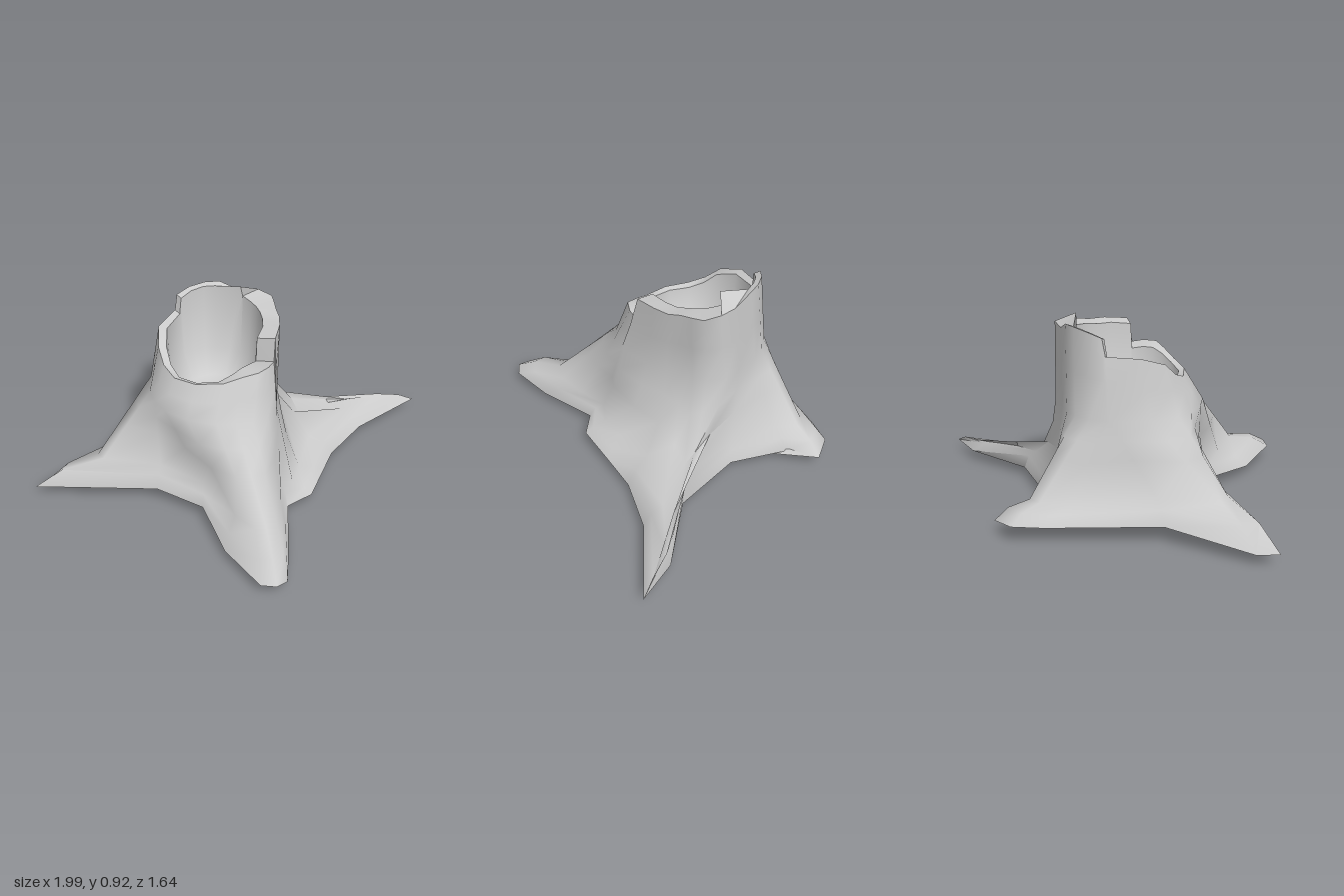
import * as THREE from 'three';
import { toCreasedNormals } from 'three/addons/utils/BufferGeometryUtils.js';

// Columns run counter-clockwise seen from above, starting at the front root.
// Ground outline of the roots
const FOOT = [
  [.14, .07, .82], [.19, .06, .78], [.21, .03, .58], [.23, .05, .27], [.35, .06, .20], [.43, .05, 0],
  [.49, .03, -.16], [.66, .04, -.37], [.99, .05, -.61], [.78, .05, -.60], [.45, .04, -.44], [.10, .04, -.48],
  [-.11, .05, -.66], [-.14, .07, -.82], [-.26, .08, -.79], [-.34, .08, -.67], [-.58, .08, -.21], [-.94, .05, .02],
  [-1, .06, .10], [-.40, .08, .16], [-.18, .07, .29], [-.08, .04, .56], [.07, .06, .80],
];
// Tops of the roots
const KNEE = [
  [.11, .16, .56], [.16, .14, .50], [.19, .14, .34], [.20, .14, .20], [.26, .10, .15], [.30, .10, .03],
  [.37, .13, -.18], [.58, .13, -.42], [.78, .11, -.58], [.60, .14, -.49], [.37, .15, -.41], [.08, .14, -.46],
  [-.13, .14, -.57], [-.19, .16, -.67], [-.25, .16, -.65], [-.32, .15, -.54], [-.50, .18, -.20], [-.69, .19, .01],
  [-.66, .20, .06], [-.38, .20, .12], [-.17, .16, .22], [-.03, .13, .42], [.06, .16, .55],
];
// Direction of each column around the trunk, and height of the broken rim there
const ANGLE = [20, 32, 44, 56.5, 58, 80, 96, 108, 118, 128, 142, 158, 178, 192, 208, 223, 226, 258, 282, 297, 314, 338, 364];
const RIM = [.70, .72, .72, .71, .83, .84, .84, .85, .855, .86, .87, .86, .90, .90, .89, .87, .79, .78, .74, .68, .65, .655, .67];
// Corners of the trunk: front right buttress and back right
const UPPER_BULGE = { 0: 1.1, 1: 1.2, 2: 1.25, 3: 1.22, 4: 1.2, 5: 1.08, 8: 1.06, 9: 1.14, 10: 1.14, 22: 1.05 };
const RIM_BULGE = { 0: 1.05, 1: 1.15, 2: 1.12, 3: 1.05, 4: 1.05, 8: 1.06, 9: 1.15, 10: 1.12 };

const vec = (p) => new THREE.Vector3(...p);

// Ellipse ring around the trunk; height varies per column, some columns bulge
function trunkRing(cx, cz, rx, rz, height, bulge = {}) {
  return ANGLE.map((deg, i) => {
    const a = THREE.MathUtils.degToRad(deg), s = bulge[i] ?? 1;
    return new THREE.Vector3(cx + Math.sin(a) * rx * s, height(i), cz + Math.cos(a) * rz * s);
  });
}

// Ring between two others, with separate amounts sideways and upwards
function between(from, to, side, up) {
  return from.map((p, i) => {
    const q = p.clone().lerp(to[i], side(i));
    q.y = THREE.MathUtils.lerp(p.y, to[i].y, up(i));
    return q;
  });
}

// Skin a stack of closed rings
function loft(rings, crease) {
  const n = rings[0].length, index = [];
  for (let j = 0; j < rings.length - 1; j++) {
    for (let i = 0; i < n; i++) {
      const k = (i + 1) % n;
      const a = j * n + i, b = j * n + k, c = b + n, d = a + n;
      if (!rings[j][i].equals(rings[j][k])) index.push(a, b, c);
      if (!rings[j + 1][i].equals(rings[j + 1][k])) index.push(a, c, d);
    }
  }
  const geometry = new THREE.BufferGeometry().setFromPoints(rings.flat());
  geometry.setIndex(index);
  return toCreasedNormals(geometry, crease);
}

export function createModel() {
  const group = new THREE.Group();
  group.name = 'treeStump';
  const material = new THREE.MeshStandardMaterial({ color: 0xcccccc, side: THREE.DoubleSide });
  const add = (name, rings, crease) => {
    const mesh = new THREE.Mesh(loft(rings, crease), material);
    mesh.name = name;
    group.add(mesh);
  };
  const point = (x, y, z) => ANGLE.map(() => new THREE.Vector3(x, y, z));

  const foot = FOOT.map(vec);
  const knee = KNEE.map(vec);
  // Rounded backs of the roots
  const back = between(foot, knee, () => .4, () => .65);
  const upper = trunkRing(-.13, -.12, .30, .33, () => .51, UPPER_BULGE);
  // The right root runs low and meets the trunk abruptly; the others climb steadily
  const low = (i) => Math.max(0, 1 - Math.abs(i - 8) / 4);
  const waist = between(knee, upper, (i) => .5 + .22 * low(i), (i) => .5 - .4 * low(i));
  const flare = between(waist, upper, (i) => .5 + .22 * low(i), () => .5);
  const rim = trunkRing(-.09, -.15, .29, .28, (i) => RIM[i], RIM_BULGE);
  const shoulder = between(upper, rim, () => .5, () => .5);
  // Thin wall, thicker on the right, with one splinter leaning inwards at the back
  const lip = trunkRing(-.11, -.15, .23, .25, (i) => RIM[i] - .01);
  lip[11].set(.02, .92, -.33);

  // Underside sags to its lowest point towards the back
  const centre = point(-.05, .06, -.10);
  const sole = between(foot, centre, () => .4, () => .5);
  sole[12].set(-.04, 0, -.47);

  add('trunkAndRoots', [centre, sole, foot, back, knee, waist, flare, upper, shoulder, rim], 1.6);
  add('brokenRim', [rim, lip], .8);
  // Bowl-shaped hollow inside the trunk
  add('hollow', [
    lip,
    trunkRing(-.11, -.15, .215, .235, () => .55),
    trunkRing(-.11, -.14, .15, .16, () => .44),
    point(-.11, .41, -.14),
  ], 1.2);
  return group;
}
